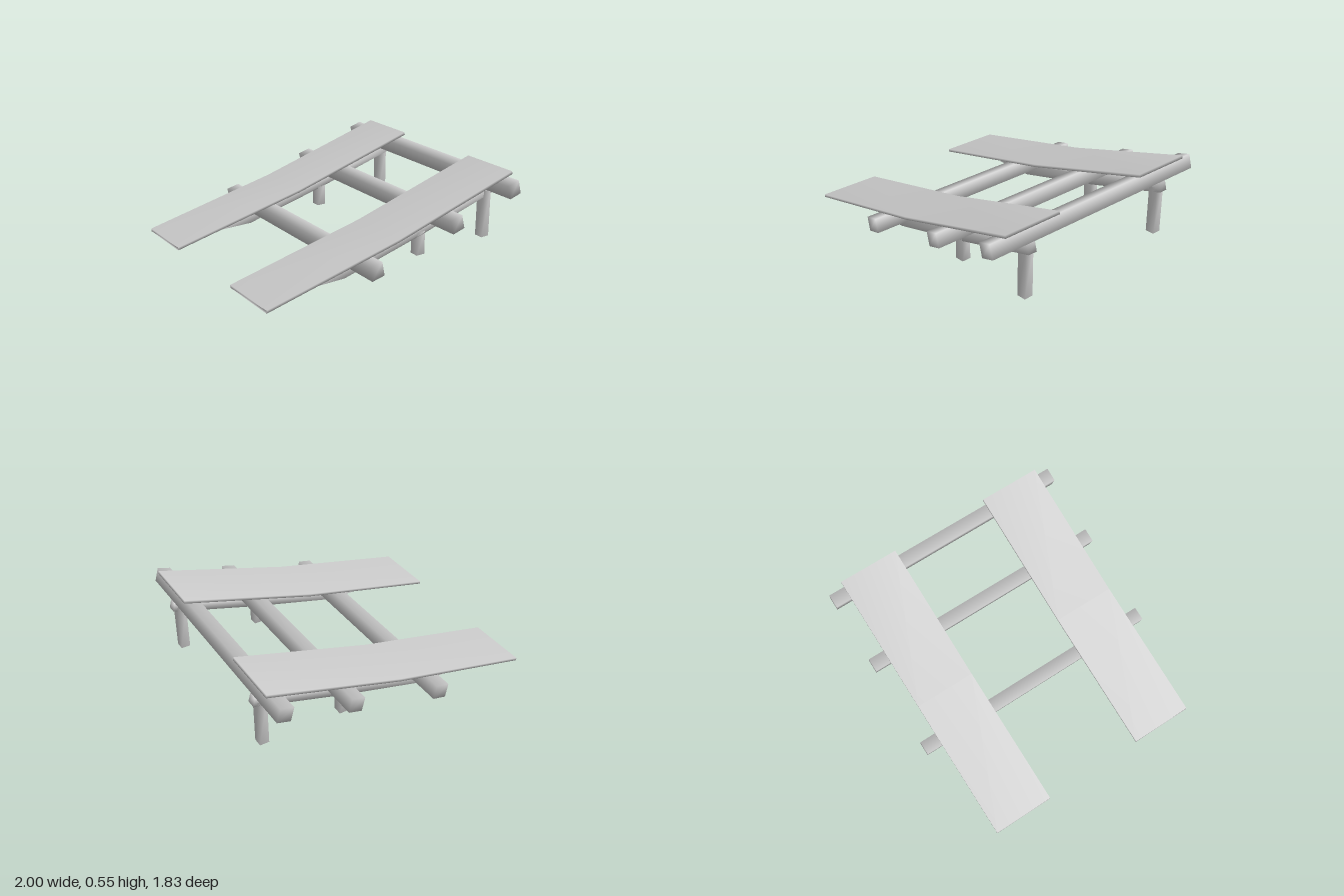
import * as THREE from 'three';
import { mergeVertices } from 'three/addons/utils/BufferGeometryUtils.js';

const material = new THREE.MeshStandardMaterial({ color: 0xcccccc });

// Shared corners give the timbers soft, continuous shading.
function soften(geometry) {
  geometry.deleteAttribute('normal');
  geometry.deleteAttribute('uv');
  const merged = mergeVertices(geometry, 1e-4);
  merged.computeVertexNormals();
  return merged;
}

// Side profile in x/y, extruded across z.
function timber(name, profile, z, width) {
  const shape = new THREE.Shape(profile.map(([x, y]) => new THREE.Vector2(x, y)));
  const geometry = new THREE.ExtrudeGeometry(shape, { depth: width, bevelEnabled: false });
  geometry.translate(0, 0, z - width / 2);
  const mesh = new THREE.Mesh(soften(geometry), material);
  mesh.name = name;
  return mesh;
}

function box(name, size, position, tilt = 0) {
  const mesh = new THREE.Mesh(soften(new THREE.BoxGeometry(...size)), material);
  mesh.name = name;
  mesh.position.set(...position);
  mesh.rotation.z = tilt;
  return mesh;
}

export function createModel() {
  const model = new THREE.Group();
  model.name = 'ramp';

  // Two track planks, slightly bent at mid length
  const plankProfile = [
    [-1, 0.016], [0, 0.242], [0.985, 0.524],
    [0.98, 0.545], [0, 0.262], [-1, 0.036],
  ];
  model.add(timber('frontPlank', plankProfile, 0.598, 0.445));
  model.add(timber('backPlank', plankProfile, -0.58, 0.438));

  // Three tilted cross beams carrying the planks
  const beams = [[-0.244, 0.133, 0.21], [0.415, 0.305, 0.26], [0.919, 0.448, 0.27]];
  for (const [x, y, tilt] of beams) {
    model.add(box('crossBeam', [0.098, 0.1, 1.83], [x, y, 0], tilt));
  }

  // Sloping rails with ends cut flat on the ground, and their legs
  const railProfile = [
    [-0.61, 0], [-0.3, 0], [0.36, 0.166], [0.995, 0.345],
    [0.977, 0.41], [0.35, 0.235],
  ];
  for (const [side, z] of [['front', 0.608], ['back', -0.604]]) {
    model.add(timber(side + 'Rail', railProfile, z, 0.066));
    model.add(box(side + 'ShortLeg', [0.066, 0.17, 0.066], [0.337, 0.099, z]));
    model.add(box(side + 'TallLeg', [0.066, 0.35, 0.066], [0.932, 0.189, z]));
  }
  return model;
}
